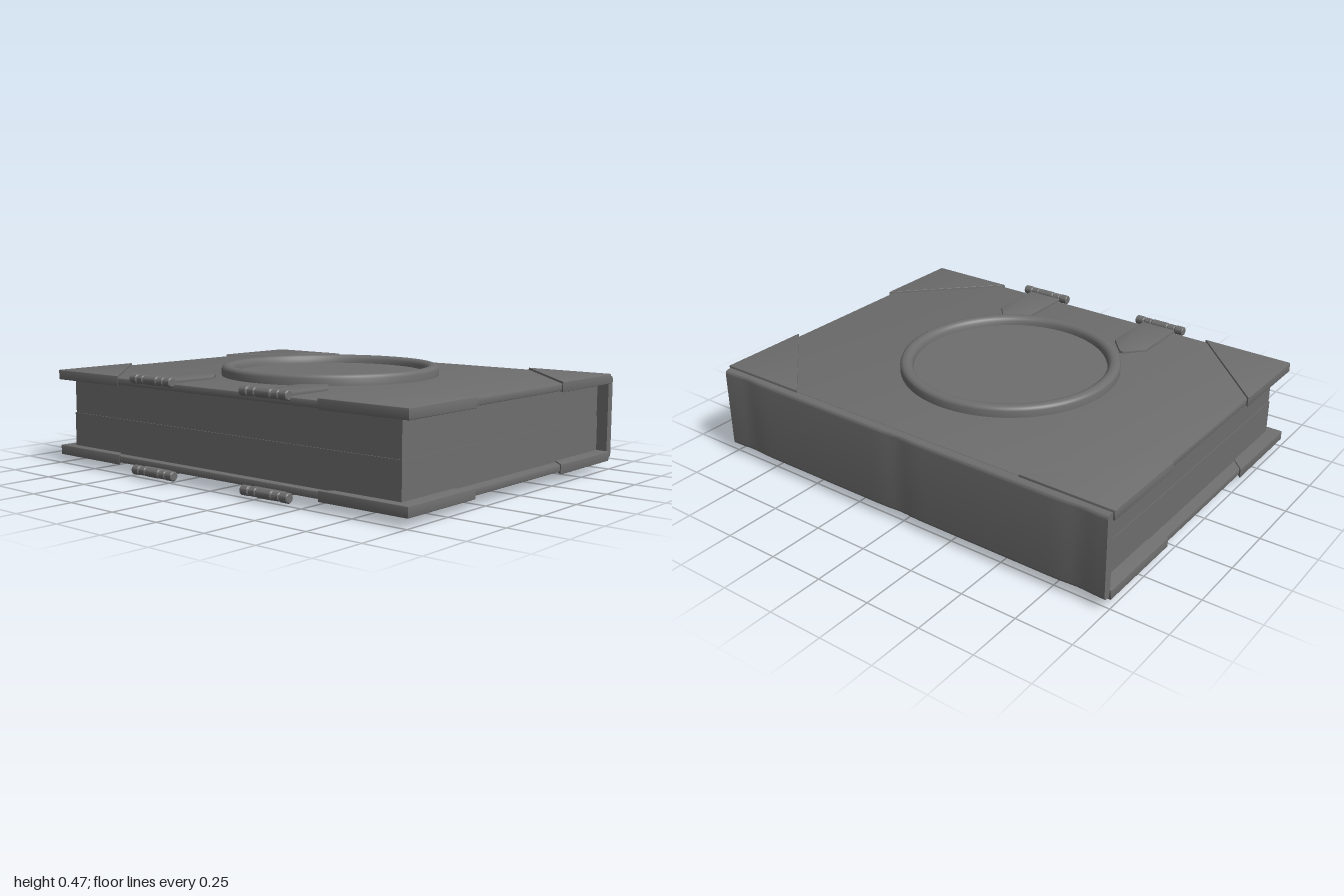
import * as THREE from 'three';
import { toCreasedNormals } from 'three/addons/utils/BufferGeometryUtils.js';

const MID = 0.2335; // height of the book's middle plane
const material = new THREE.MeshStandardMaterial({ color: 0x6e6e6e });

function add(parent, name, geometry, x = 0, y = 0, z = 0) {
  const mesh = new THREE.Mesh(geometry, material);
  mesh.name = name;
  mesh.position.set(x, y, z);
  parent.add(mesh);
  return mesh;
}

// Flat plate from an outline of [x, z] points, between two heights
function plate(points, y0, y1, bevel) {
  const shape = new THREE.Shape(points.map(([x, z]) => new THREE.Vector2(x, -z)));
  const geometry = new THREE.ExtrudeGeometry(shape, {
    depth: y1 - y0 - 2 * bevel, bevelEnabled: true, bevelSize: bevel,
    bevelOffset: -bevel, bevelThickness: bevel, bevelSegments: 2,
  });
  return toCreasedNormals(geometry.rotateX(-Math.PI / 2).translate(0, y0 + bevel, 0), 0.6);
}

// Raised ring with a rounded top around a slightly raised disc
function medallionGeometry() {
  const profile = [
    [0.488, 0.18], [0.488, 0.216], [0.484, 0.226], [0.474, 0.232], [0.46, 0.2335],
    [0.448, 0.232], [0.438, 0.225], [0.432, 0.214], [0.43, 0.196], [0, 0.196],
  ].map(([r, y]) => new THREE.Vector2(r, y));
  return toCreasedNormals(new THREE.LatheGeometry(profile, 96).toNonIndexed(), 0.7);
}

// Hinge barrel: knuckles separated by narrow grooves
function barrelGeometry() {
  const profile = [new THREE.Vector2(0, -0.127)];
  for (const [a, b, r] of [
    [-0.127, -0.084, 0.021], [-0.082, -0.044, 0.0195], [-0.042, 0.042, 0.0205],
    [0.044, 0.082, 0.0195], [0.084, 0.127, 0.021],
  ]) {
    profile.push(
      new THREE.Vector2(r - 0.004, a), new THREE.Vector2(r, a + 0.004),
      new THREE.Vector2(r, b - 0.004), new THREE.Vector2(r - 0.004, b));
  }
  profile.push(new THREE.Vector2(0, 0.127));
  const lathe = new THREE.LatheGeometry(profile, 20).toNonIndexed();
  return toCreasedNormals(lathe, 0.5).rotateX(Math.PI / 2);
}

// Spine: rounded slab with shallow hollows at the middle and near both ends
function spineGeometry() {
  const h = 0.185, x0 = 0.74, x1 = 0.778, r = 0.018;
  const shape = new THREE.Shape();
  shape.moveTo(x0, -h);
  shape.lineTo(x1 - r, -h);
  shape.quadraticCurveTo(x1, -h, x1, -h + r);
  shape.lineTo(x1, h - r);
  shape.quadraticCurveTo(x1, h, x1 - r, h);
  shape.lineTo(x0, h);
  const geometry = new THREE.ExtrudeGeometry(shape, {
    depth: 1.984, steps: 64, bevelEnabled: false, curveSegments: 5,
  }).translate(0, 0, -0.992);
  const p = geometry.attributes.position;
  for (let i = 0; i < p.count; i++) {
    if (p.getX(i) < x0 + 0.005) continue;
    let hollow = 0;
    for (const c of [-0.87, 0, 0.87]) hollow += Math.exp(-(((p.getZ(i) - c) / 0.06) ** 2));
    p.setX(i, p.getX(i) - 0.006 * hollow);
  }
  return toCreasedNormals(geometry, 0.6);
}

// One cover with everything fixed to it, facing up
function buildCover(name) {
  const cover = new THREE.Group();
  cover.name = name;
  add(cover, 'coverBoard', plate(
    [[-0.74, 0.99], [0.74, 0.99], [0.74, -0.99], [-0.74, -0.99]], 0.157, 0.187, 0.004));
  add(cover, 'medallion', medallionGeometry());

  // Triangular corner guards
  for (const sx of [-1, 1]) for (const sz of [-1, 1]) {
    add(cover, 'cornerGuard', plate(
      [[sx * 0.745, sz], [sx * 0.32, sz], [sx * 0.745, sz * 0.58]], 0.152, 0.196, 0.003));
  }

  // Two pointed straps, each ending in a hinge barrel
  for (const z of [-0.328, 0.328]) {
    const clasp = new THREE.Group();
    clasp.name = 'clasp';
    clasp.position.z = z;
    add(clasp, 'claspStrap', plate([
      [-0.75, -0.085], [-0.49, -0.085], [-0.403, -0.008],
      [-0.403, 0.008], [-0.49, 0.085], [-0.75, 0.085],
    ], 0.18, 0.2, 0.002));
    add(clasp, 'claspBarrel', barrelGeometry(), -0.764, 0.197, 0);
    cover.add(clasp);
  }
  return cover;
}

export function createModel() {
  const book = new THREE.Group();
  book.name = 'book';

  const top = buildCover('topCover');
  top.position.y = MID;
  const bottom = buildCover('bottomCover');
  bottom.position.y = MID;
  bottom.rotation.x = Math.PI;
  book.add(top, bottom);

  // Page block in two halves, the lower a hair larger so that the seam shows
  add(book, 'upperPages', new THREE.BoxGeometry(1.443, 0.16, 1.876), 0.0215, MID + 0.08, 0);
  add(book, 'lowerPages', new THREE.BoxGeometry(1.447, 0.16, 1.882), 0.0195, MID - 0.08, 0);

  add(book, 'spine', spineGeometry(), 0, MID, 0);
  return book;
}
